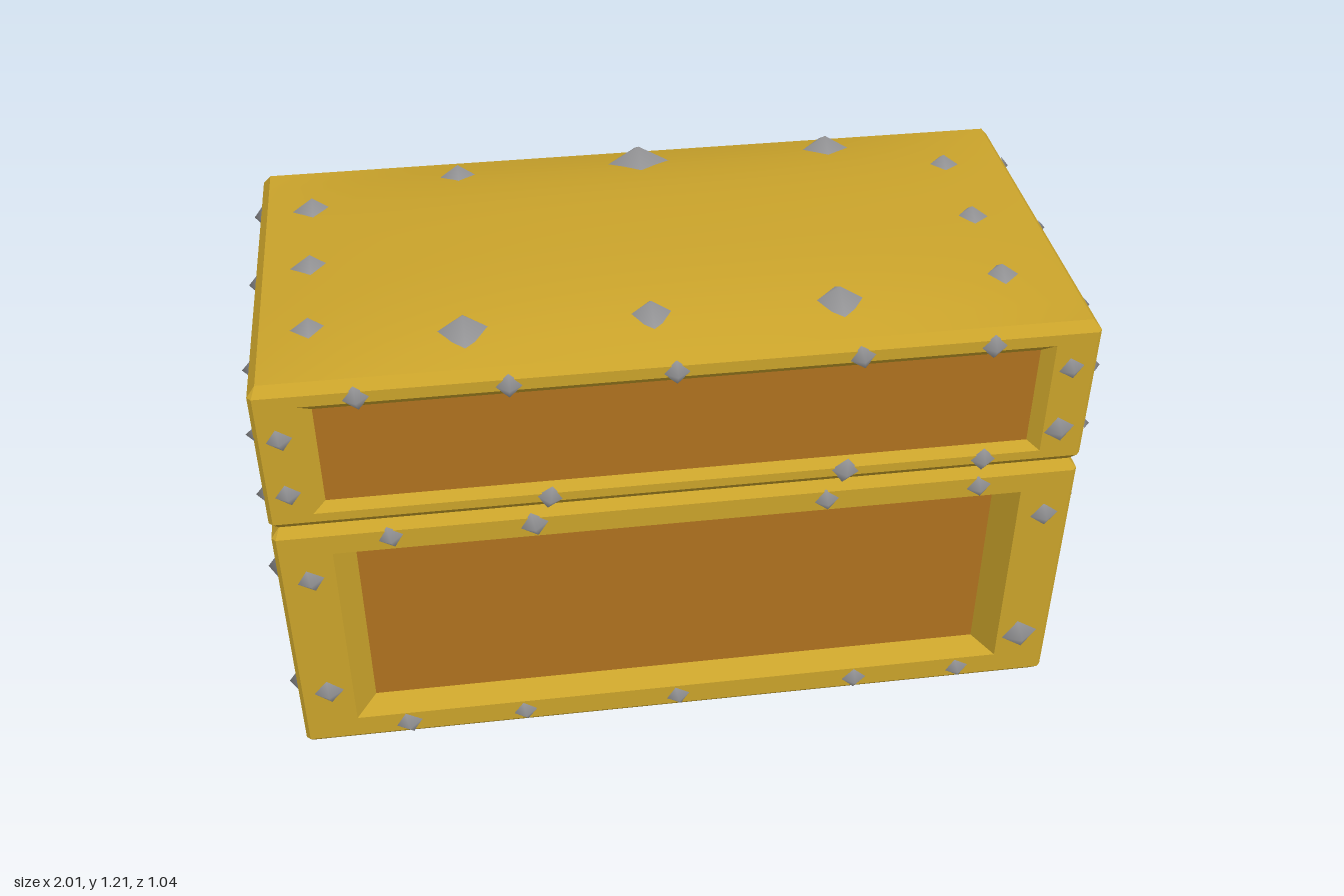
import * as THREE from 'three';
import { mergeVertices } from 'three/addons/utils/BufferGeometryUtils.js';

const gold = new THREE.MeshStandardMaterial({ color: 0xcba42b });
gold.name = 'gold trim';
const wood = new THREE.MeshStandardMaterial({ color: 0xb0721f });
wood.name = 'brown wood';
const iron = new THREE.MeshStandardMaterial({ color: 0x949496 });
iron.name = 'grey iron';

const X = 0.976, Z = 0.483, ZC = 0.009; // half sizes and z offset of the box
const PINCH = 0.02;                     // how far the corners are drawn in
const EDGE = 0.005;                     // small chamfer on the upright edges
const RAIL = 0.024;                     // taller chamfer on the level edges
const TOP = 1.142;

// Flat-faced surface through nested rings of points, running from outside in
function rings(loops, cap) {
  const pos = [];
  const same = (a, b) => a.every((v, i) => v === b[i]);
  const tri = (a, b, c) => {
    if (!same(a, b) && !same(b, c) && !same(a, c)) pos.push(...a, ...b, ...c);
  };
  for (let k = 0; k + 1 < loops.length; k++) {
    const a = loops[k], b = loops[k + 1], n = a.length;
    for (let i = 0; i < n; i++) {
      const j = (i + 1) % n;
      tri(a[i], a[j], b[j]);
      tri(a[i], b[j], b[i]);
    }
  }
  if (cap) {
    const l = loops[loops.length - 1];
    for (let i = 1; i + 1 < l.length; i++) tri(l[0], l[i], l[i + 1]);
  }
  const g = new THREE.BufferGeometry();
  g.setAttribute('position', new THREE.Float32BufferAttribute(pos, 3));
  g.computeVertexNormals();
  return g;
}

// Rectangle with doubled corners, and the outer ring with drawn-in corners
function rect(u0, u1, y0, y1, z, zLow = z) {
  const a = [u0, y0, zLow], b = [u1, y0, zLow], c = [u1, y1, z], d = [u0, y1, z];
  return [a, b, b, c, c, d, d, a];
}
function outerRing(half, y0, y1) {
  const a = half - PINCH, b = half - EDGE, lo = y0 + RAIL, hi = y1 - RAIL;
  return [[-a, y0, -PINCH], [a, y0, -PINCH], [b, lo, -EDGE], [b, hi, -EDGE],
    [a, y1, -PINCH], [-a, y1, -PINCH], [-b, hi, -EDGE], [-b, lo, -EDGE]];
}

function add(parent, name, geometry, material) {
  const m = new THREE.Mesh(geometry, material);
  m.name = name;
  parent.add(m);
  return m;
}

// Four-sided pyramid stud with softened edges, pointing along +z
const cone = new THREE.ConeGeometry(1, 1, 4, 1, true).rotateX(Math.PI / 2).translate(0, 0, 0.5);
cone.deleteAttribute('normal');
cone.deleteAttribute('uv');
const studGeo = mergeVertices(cone);
studGeo.computeVertexNormals();
function stud(parent, x, y, z, r, h) {
  const m = add(parent, 'stud', studGeo, iron);
  m.position.set(x, y, z);
  m.rotation.z = 0.25 * Math.sin(x * 17 + y * 29);
  m.scale.set(r, r, h);
  return m;
}

// One side: bevelled gold frame, sunk wooden panel and studs.
// swell pushes the inner edge of the lower rail outwards.
function side(parent, name, half, y0, y1, [u0, u1, p0, p1], bevel, depth, studs, swell = 0) {
  const g = new THREE.Group();
  g.name = name;
  const panel = rect(u0, u1, p0, p1, -depth);
  add(g, 'frame', rings([
    outerRing(half, y0, y1),
    rect(-half + 2 * EDGE, half - 2 * EDGE, y0 + RAIL, y1 - RAIL, 0),
    rect(u0 - bevel, u1 + bevel, p0 - 0.022, p1 + 0.022, 0, swell),
    panel,
  ]), gold);
  add(g, 'panel', rings([panel], true), wood);
  for (const [u, y, r = 0.033] of studs) stud(g, u, y, -0.002, r, 0.011 + r * 0.4);
  parent.add(g);
  return g;
}

const bodyLong = [[-0.7, 0.685], [-0.36, 0.685, 0.037], [0.35, 0.68], [0.73, 0.68],
  [-0.9, 0.57, 0.036], [0.91, 0.57, 0.038], [-0.9, 0.19, 0.04], [0.9, 0.155, 0.05],
  [-0.71, 0.05, 0.037], [-0.41, 0.05], [-0.01, 0.05], [0.46, 0.05, 0.035], [0.74, 0.05]];
const lidLong = [[-0.92, 1.0], [-0.92, 0.84], [-0.74, 1.1], [-0.4, 1.1], [-0.02, 1.1],
  [0.41, 1.1], [0.72, 1.1], [0.915, 1.02], [0.91, 0.84, 0.04],
  [-0.32, 0.765], [0.39, 0.768, 0.036], [0.73, 0.765]];
const bodyShort = [[-0.28, 0.665, 0.03], [0.28, 0.668, 0.034], [-0.42, 0.575, 0.042],
  [0.405, 0.57, 0.038], [-0.42, 0.18, 0.04], [0.4, 0.168, 0.048], [-0.285, 0.065, 0.038],
  [0.27, 0.05, 0.03]];
const lidShort = [[-0.338, 1.097, 0.025], [0.01, 1.1, 0.025], [0.33, 1.1, 0.027],
  [-0.457, 1.005, 0.022], [0.443, 1.025, 0.024], [-0.457, 0.83, 0.024], [0.443, 0.835, 0.024],
  [-0.338, 0.768, 0.028], [0.33, 0.768, 0.028]];
const mirrored = (list) => list.map(([u, ...rest]) => [-u, ...rest]);

// Four sides around one storey of the chest
function storey(name, y0, y1, front, back, short, bevel, depth, longStuds, shortStuds, swell) {
  const g = new THREE.Group();
  g.name = name;
  side(g, 'frontSide', X, y0, y1, front, bevel, depth, longStuds).position.z = Z;
  const b = side(g, 'backSide', X, y0, y1, back, bevel, depth, mirrored(longStuds), swell);
  b.position.z = -Z;
  b.rotation.y = Math.PI;
  const l = side(g, 'leftSide', Z, y0, y1, short, 0.02, depth, shortStuds);
  l.position.x = X;
  l.rotation.y = Math.PI / 2;
  const [s0, s1, ...ys] = short;
  const r = side(g, 'rightSide', Z, y0, y1, [-s1, -s0, ...ys], 0.02, depth, mirrored(shortStuds));
  r.position.x = -X;
  r.rotation.y = -Math.PI / 2;
  return g;
}

// Height of the gently bulging lid top
const domeY = (x, z) => TOP + 0.053
  * Math.max(0, 1 - Math.abs(x / (X - PINCH)) ** 2.6)
  * Math.max(0, 1 - Math.abs(z / (Z - PINCH)) ** 2.8);

export function createModel() {
  const chest = new THREE.Group();
  chest.name = 'chest';
  const box = new THREE.Group();
  box.name = 'box';
  box.position.z = ZC;
  chest.add(box);

  // Lower body with deep panels, and its wooden underside
  const body = storey('body', 0, 0.73, [-0.79, 0.79, 0.107, 0.628], [-0.79, 0.755, 0.107, 0.622],
    [-0.335, 0.32, 0.135, 0.598], 0.05, 0.06, bodyLong, bodyShort, 0);
  const w = 2 * (X - PINCH), d = 2 * (Z - PINCH);
  add(body, 'bottom', new THREE.PlaneGeometry(w, d).rotateX(Math.PI / 2), wood);
  box.add(body);

  // Lid with shallow panels and a broader, swollen lower rail at the back
  const lid = storey('lid', 0.73, TOP, [-0.84, 0.84, 0.8, 1.066], [-0.84, 0.84, 0.85, 1.066],
    [-0.41, 0.39, 0.808, 1.056], 0.03, 0.02, lidLong, lidShort, 0.012);
  const dome = new THREE.PlaneGeometry(w, d, 20, 14).rotateX(-Math.PI / 2);
  const p = dome.attributes.position;
  for (let i = 0; i < p.count; i++) p.setY(i, domeY(p.getX(i), p.getZ(i)));
  dome.computeVertexNormals();
  add(lid, 'lidTop', dome, gold);
  box.add(lid);

  // Large studs on the lid top
  const topStuds = [[-0.84, -0.25, 0.052], [-0.47, -0.35, 0.05], [0, -0.35, 0.085],
    [0.5, -0.37, 0.066], [0.79, -0.25, 0.044], [-0.84, 0.02, 0.05], [0.79, 0.02, 0.045],
    [-0.84, 0.28, 0.047], [0.79, 0.28, 0.046], [-0.49, 0.35, 0.068], [-0.06, 0.35, 0.057],
    [0.38, 0.35, 0.065]];
  for (const [x, z, r] of topStuds) {
    const s = stud(lid, x, domeY(x, z) - 0.006, z - ZC, r, 0.016 + r * 0.4);
    s.rotation.set(-Math.PI / 2, 0, 0);
  }

  // Tapered latch plate on the back with a sunken slot
  const outline = (half, top, shoulder, tip, bottomY, z) => [
    [-tip, bottomY, z], [tip, bottomY, z], [half, shoulder, z],
    [half * 0.97, top, z], [-half * 0.97, top, z], [-half, shoulder, z]];
  const latch = add(chest, 'latch', rings([
    outline(0.147, 0.83, 0.76, 0.055, 0.37, 0.41),
    outline(0.147, 0.83, 0.76, 0.055, 0.37, 0.487),
    outline(0.115, 0.795, 0.745, 0.038, 0.4, 0.52),
    outline(0.082, 0.7, 0.675, 0.016, 0.44, 0.52),
    outline(0.05, 0.665, 0.65, 0.008, 0.475, 0.49),
  ], true), iron);
  latch.rotation.y = Math.PI;
  latch.position.x = -0.015;
  return chest;
}
